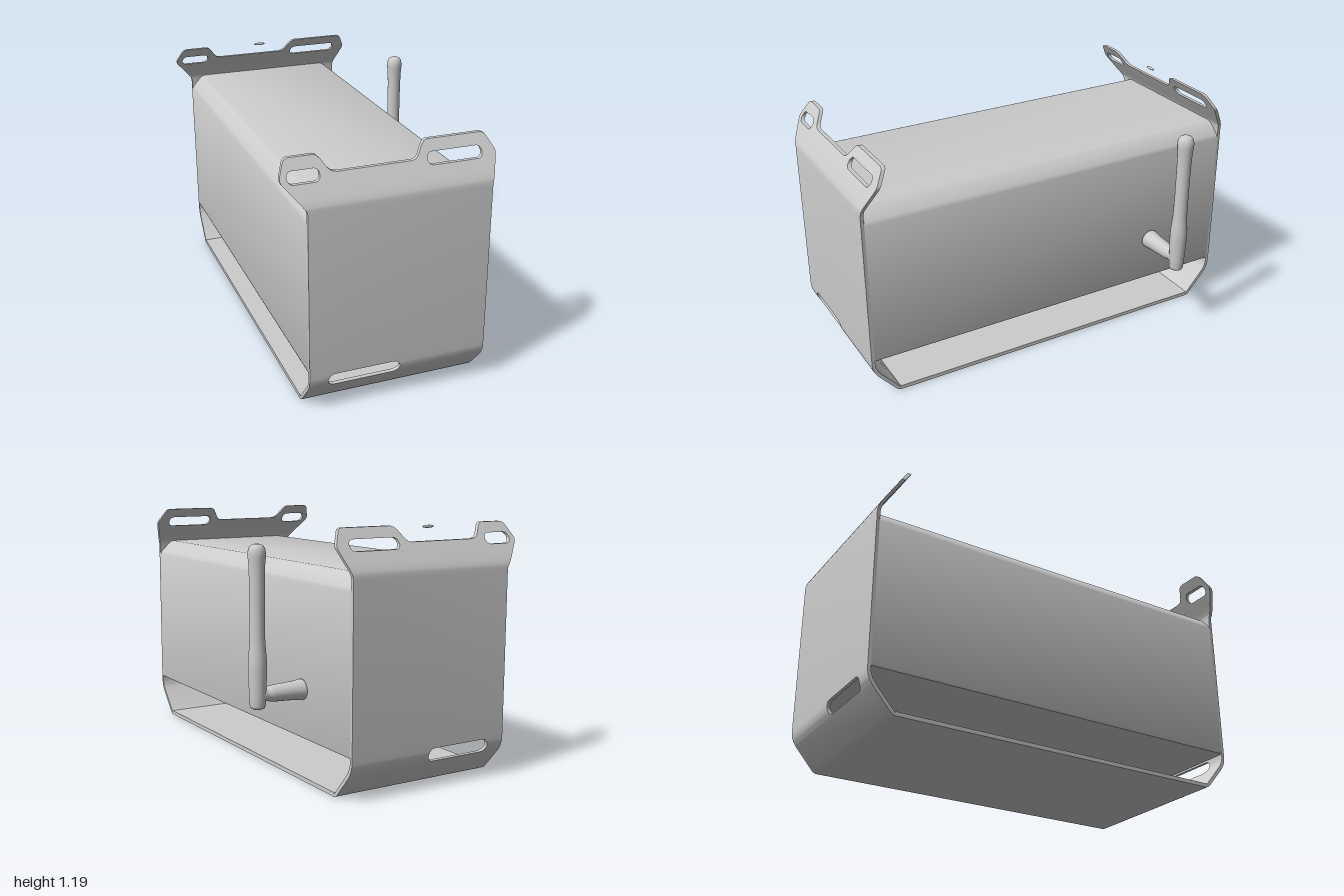
import * as THREE from 'three';
import { toCreasedNormals } from 'three/addons/utils/BufferGeometryUtils.js';

const grey = new THREE.MeshStandardMaterial({ color: 0xcccccc });
const LEFT = -0.515, RIGHT = 0.335, SHEET = 0.016;

function add(parent, name, geometry, x = 0, y = 0, z = 0) {
  const mesh = new THREE.Mesh(geometry, grey);
  mesh.name = name;
  mesh.position.set(x, y, z);
  parent.add(mesh);
  return mesh;
}

// Linear lookup in rows of [y, a, b, ...]
function at(rows, y, column) {
  let i = 0;
  while (i < rows.length - 2 && y > rows[i + 1][0]) i++;
  const [p, q] = [rows[i], rows[i + 1]];
  return p[column] + (q[column] - p[column]) * (y - p[0]) / (q[0] - p[0]);
}

// Rounded slot as rows of [y, xMin, xMax]
function slot(x0, x1, y0, y1) {
  const r = (y1 - y0) / 2, rows = [];
  for (let i = 0; i <= 10; i++) {
    const a = (i / 10 - 0.5) * Math.PI;
    const inset = r * (1 - Math.cos(a));
    rows.push([(y0 + y1) / 2 + r * Math.sin(a), x0 + inset, x1 - inset]);
  }
  return rows;
}

// End plate outline and the openings cut from it: [y, xMin, xMax]
const outline = [[0, LEFT, RIGHT], [0.975, LEFT, RIGHT], [0.99, -0.519, 0.337], [1.01, -0.535, 0.342],
  [1.095, -0.605, 0.371], [1.11, -0.611, 0.374], [1.122, -0.608, 0.371],
  [1.172, -0.585, 0.344], [1.182, -0.577, 0.337], [1.188, -0.562, 0.322]];
const cuts = [
  slot(-0.58, -0.435, 1.09, 1.14),
  [[1.117, -0.36, -0.02], [1.122, -0.383, 0], [1.135, -0.398, 0.013], [1.17, -0.422, 0.037],
    [1.182, -0.433, 0.048], [1.188, -0.447, 0.064]],
  slot(0.05, 0.31, 1.09, 1.14),
  slot(-0.427, -0.083, 0.125, 0.19),
];
// Bend of the sheet: [y, outer z, thickness along z]
const bend = [[0, 0.862, 0.03], [0.005, 0.874, 0.024], [0.015, 0.886, 0.023], [0.12, 0.977, 0.023],
  [0.14, 0.989, 0.02], [0.155, 0.995, 0.018], [0.175, 0.999, SHEET], [0.2, 1, SHEET], [0.975, 1, SHEET],
  [1.0, 0.997, SHEET], [1.02, 0.988, 0.018], [1.04, 0.976, 0.019], [1.188, 0.883, 0.019]];

// Bent plate, built in bands between all the heights where something changes
function plateGeometry(side) {
  const heights = [...new Set([outline, bend, ...cuts].flat().map(r => +r[0].toFixed(5)))].sort((a, b) => a - b);
  const ends = [outline, ...cuts].flatMap(t => [t[0][0], t[t.length - 1][0]]);
  const isEnd = y => ends.some(e => Math.abs(e - y) < 1e-4);
  const position = [];
  const point = (x, y, d) => [x, y, side * (at(bend, y, 1) - d * at(bend, y, 2))];
  const quad = (a, b, c, d) => {
    const corners = side > 0 ? [a, b, c, a, c, d] : [a, c, b, a, d, c];
    corners.forEach(p => position.push(...p));
  };
  for (let i = 0; i < heights.length - 1; i++) {
    const y0 = heights[i], y1 = heights[i + 1], mid = (y0 + y1) / 2;
    const open = cuts.filter(c => mid > c[0][0] && mid < c[c.length - 1][0]);
    const edges = y => [at(outline, y, 1), ...open.flatMap(c => [at(c, y, 1), at(c, y, 2)]), at(outline, y, 2)];
    const low = edges(y0), high = edges(y1);
    for (let k = 0; k < low.length; k += 2) {
      const [a, b, c, d] = [0, 1].flatMap(n => [point(low[k], y0, n), point(low[k + 1], y0, n)]);
      const [e, f, g, h] = [0, 1].flatMap(n => [point(high[k], y1, n), point(high[k + 1], y1, n)]);
      quad(a, b, f, e);
      quad(d, c, g, h);
      quad(b, d, h, f);
      quad(c, a, e, g);
      if (isEnd(y0)) quad(c, d, b, a);
      if (isEnd(y1)) quad(e, f, h, g);
    }
  }
  const geometry = new THREE.BufferGeometry();
  geometry.setAttribute('position', new THREE.Float32BufferAttribute(position, 3));
  return toCreasedNormals(geometry, 0.6);
}

function lathe(points) {
  return new THREE.LatheGeometry(points.map(p => new THREE.Vector2(...p)), 32);
}

export function createModel() {
  const model = new THREE.Group();
  model.name = 'crankBox';

  // Long body with bevelled top edges
  const section = new THREE.Shape([[LEFT + 0.015, 0.2], [RIGHT - 0.015, 0.2], [RIGHT - 0.004, 0.204],
    [RIGHT, 0.215], [RIGHT, 0.925], [RIGHT - 0.008, 0.942], [RIGHT - 0.06, 0.992], [RIGHT - 0.08, 1],
    [LEFT + 0.07, 1], [LEFT + 0.052, 0.992], [LEFT + 0.008, 0.942], [LEFT, 0.925],
    [LEFT, 0.215], [LEFT + 0.004, 0.204]].map(p => new THREE.Vector2(...p)));
  const body = new THREE.ExtrudeGeometry(section, { depth: 1.97, bevelEnabled: false });
  add(model, 'body', toCreasedNormals(body, 0.5), 0, 0, -0.985);

  // Bent sheet: two end plates joined by a floor
  const cradle = new THREE.Group();
  cradle.name = 'cradle';
  model.add(cradle);
  add(cradle, 'frontPlate', plateGeometry(1));
  add(cradle, 'backPlate', plateGeometry(-1));
  add(cradle, 'floor', new THREE.BoxGeometry(RIGHT - LEFT, 0.02, 1.724), (LEFT + RIGHT) / 2, 0.01, 0);

  // Crank on the left side
  const crank = new THREE.Group();
  crank.name = 'crank';
  crank.position.z = -0.587;
  model.add(crank);
  const shaft = lathe([[0, 0], [0.049, 0], [0.048, 0.012], [0.043, 0.06], [0.041, 0.1], [0.038, 0.16],
    [0.036, 0.175], [0.031, 0.188], [0.032, 0.2], [0.035, 0.23]]);
  add(crank, 'crankShaft', shaft, RIGHT - 0.004, 0.434).rotation.z = -Math.PI / 2;
  const grip = lathe([[0, 0.37], [0.02, 0.371], [0.031, 0.376], [0.036, 0.388], [0.038, 0.43], [0.041, 0.5],
    [0.043, 0.56], [0.042, 0.6], [0.038, 0.64], [0.035, 0.69], [0.034, 0.8], [0.035, 0.95], [0.037, 1.02],
    [0.04, 1.05], [0.041, 1.07], [0.037, 1.09], [0.028, 1.103], [0.014, 1.109], [0, 1.11]]);
  add(crank, 'crankGrip', grip, 0.566);

  // Small pin above the back plate
  add(model, 'pin', new THREE.SphereGeometry(1, 16, 8), -0.14, 1.178, -0.885).scale.set(0.032, 0.007, 0.007);

  return model;
}
